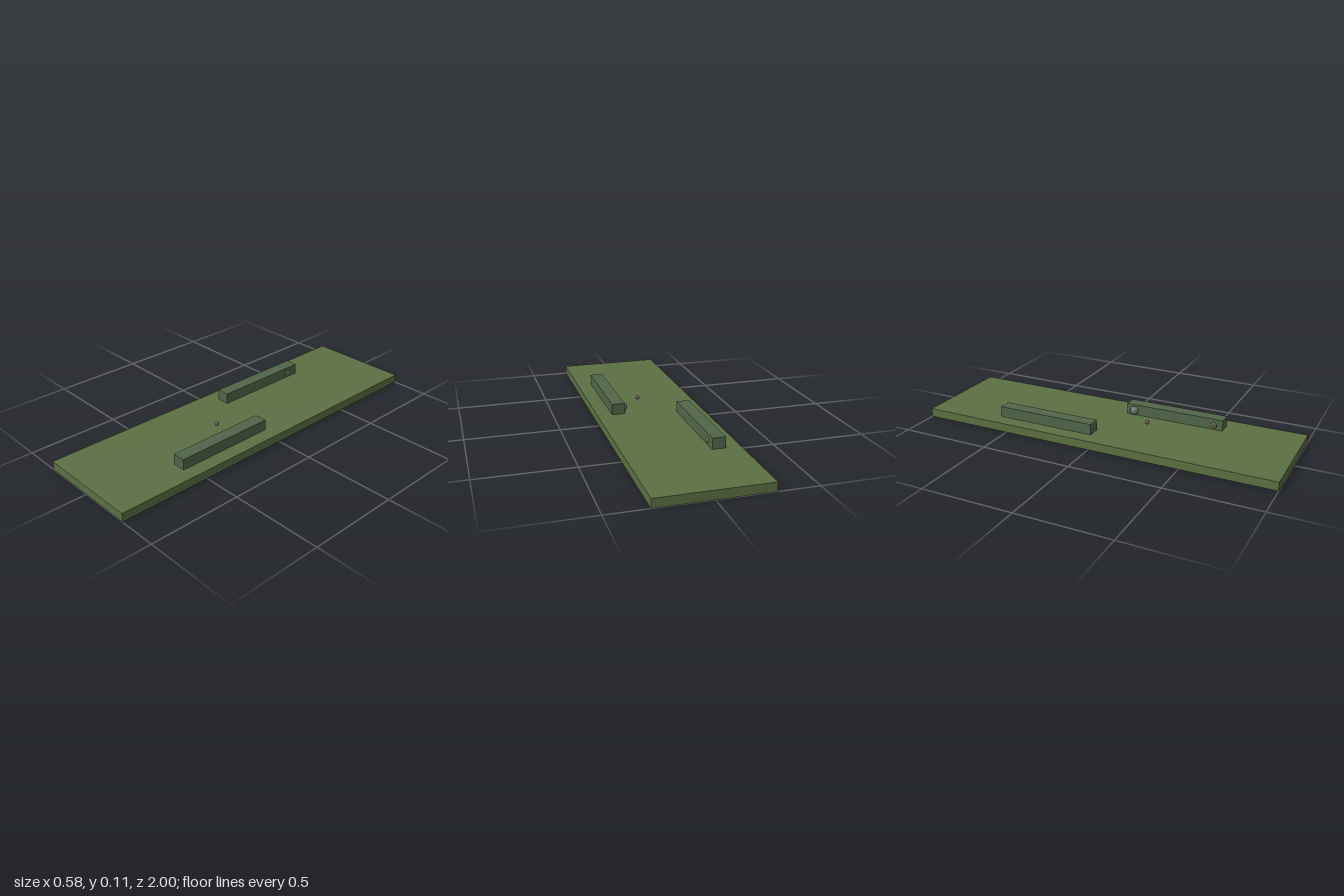
import * as THREE from 'three';

const paint = (color) => new THREE.MeshStandardMaterial({ color });

export function createModel() {
  const model = new THREE.Group();
  const baseMat = paint(0x5b7043);
  const barMat = paint(0x52664a);

  function add(name, geometry, material, x, y, z, parent = model) {
    const mesh = new THREE.Mesh(geometry, material);
    mesh.name = name;
    mesh.position.set(x, y, z);
    parent.add(mesh);
    return mesh;
  }

  // Flat rectangular ground slab
  add('groundSlab', new THREE.BoxGeometry(0.58, 0.047, 2), baseMat, 0, 0.0235, 0);

  // Two staggered walls, each with a shallow domed stud on its inner face
  const wallGeo = new THREE.BoxGeometry(0.07, 0.059, 0.556);
  const studGeo = new THREE.SphereGeometry(0.018, 24, 16);
  const sides = [
    { name: 'left', sign: 1, studZ: 0.53, stud: 0x5a5a3c },
    { name: 'right', sign: -1, studZ: -0.51, stud: 0x66743c },
  ];
  for (const { name, sign, studZ, stud } of sides) {
    const side = new THREE.Group();
    side.name = name + 'Side';
    model.add(side);
    add(name + 'Wall', wallGeo, barMat, sign * 0.175, 0.0765, sign * 0.302, side);
    add(name + 'Stud', studGeo, paint(stud), sign * 0.14, 0.071, studZ, side).scale.x = 0.35;
  }

  // Large ball half sunk in the left wall, and a small loose ball
  add('largeBall', new THREE.SphereGeometry(0.024, 32, 20), paint(0x66756c), 0.14, 0.071, 0.068);
  add('smallBall', new THREE.SphereGeometry(0.0115, 24, 16), paint(0x704a62), 0.022, 0.071, 0.197);

  return model;
}
